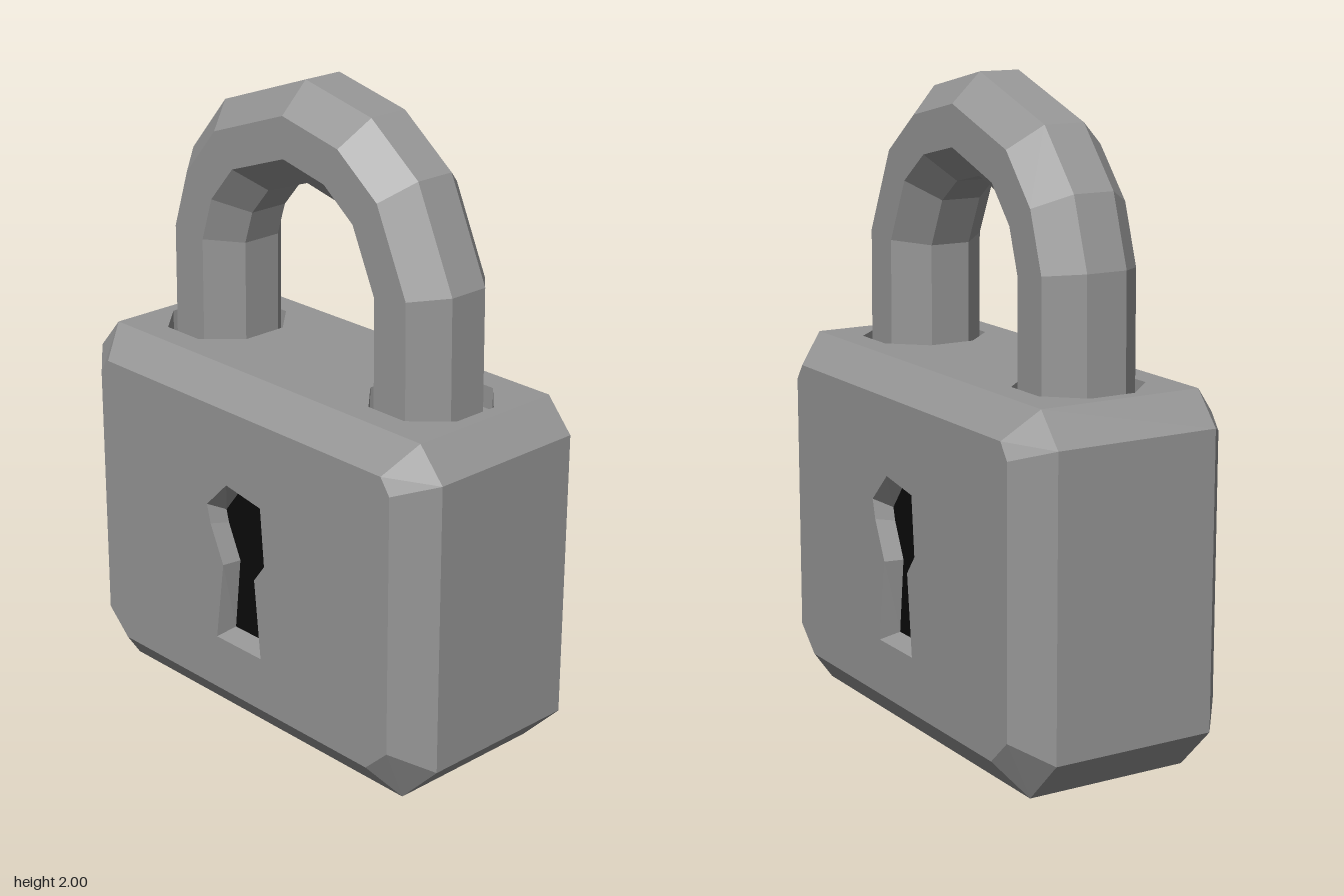
import * as THREE from 'three';

const steel = new THREE.MeshStandardMaterial({ color: 0x959595 });
steel.name = 'steel grey';
const black = new THREE.MeshStandardMaterial({ color: 0x0a0a0a });
black.name = 'keyhole black';

const v2 = (pts) => pts.map(([x, y]) => new THREE.Vector2(x, y));
const at = (pts, z) => pts.map(([x, y]) => [x, y, z]);

function mesh(name, geometry, material) {
  const m = new THREE.Mesh(geometry, material);
  m.name = name;
  return m;
}

// Faceted skin through closed rings; skip(i, j) leaves a quad out
function loft(rings, skip = () => false) {
  const pos = [];
  for (let i = 0; i < rings.length - 1; i++) {
    const n = rings[i].length;
    for (let j = 0; j < n; j++) {
      if (skip(i, j)) continue;
      const k = (j + 1) % n;
      const a = rings[i][j], b = rings[i][k], c = rings[i + 1][k], d = rings[i + 1][j];
      pos.push(...a, ...b, ...c, ...a, ...c, ...d);
    }
  }
  const g = new THREE.BufferGeometry();
  g.setAttribute('position', new THREE.Float32BufferAttribute(pos, 3));
  g.computeVertexNormals();
  return g;
}

// Flat panel facing +z with sunken, clockwise openings
function recessedPanel(name, outline, openings, depth, floorMaterial) {
  const group = new THREE.Group();
  group.name = name;
  const shape = new THREE.Shape(v2(outline));
  for (const { rim, base } of openings) {
    shape.holes.push(new THREE.Path(v2(rim)));
    group.add(mesh(name + 'RecessWall', loft([at(base, -depth), at(rim, 0)]), steel));
    const floor = mesh(name + 'RecessFloor', new THREE.ShapeGeometry(new THREE.Shape(v2(base))), floorMaterial);
    floor.position.z = -depth;
    group.add(floor);
  }
  group.add(mesh(name + 'Surface', new THREE.ShapeGeometry(shape), steel));
  return group;
}

// Counter-clockwise octagon; edge 2 is the top
const octagon = (xa, yLow, yHigh, xTop, yTop, xBottom, yBottom) => [
  [xa, yLow], [xa, yHigh], [xTop, yTop], [-xTop, yTop],
  [-xa, yHigh], [-xa, yLow], [-xBottom, yBottom], [xBottom, yBottom],
];

function createBody() {
  const body = new THREE.Group();
  body.name = 'body';
  const face = octagon(0.635, 0.19, 1.0, 0.6, 1.05, 0.55, 0.11);
  const middle = octagon(0.747, 0.14, 1.04, 0.66, 1.14, 0.61, 0);
  const Z = 0.355, z = 0.262;

  // Chamfered sides, open at the top, front and back
  const rings = [at(face, -Z), at(middle, -z), at(middle, z), at(face, Z)];
  body.add(mesh('chamferedSides', loft(rings, (i, j) => i === 1 && j === 2), steel));

  // Front and back panels with a slightly irregular keyhole
  const keyhole = {
    rim: [[-0.14, 0.72], [-0.05, 0.81], [0.1, 0.785], [0.115, 0.6], [0.07, 0.54],
      [0.095, 0.285], [-0.105, 0.285], [-0.07, 0.54], [-0.125, 0.66]],
    base: [[-0.12, 0.69], [-0.05, 0.78], [0.075, 0.775], [0.1, 0.6], [0.058, 0.54],
      [0.077, 0.305], [-0.085, 0.305], [-0.06, 0.54], [-0.11, 0.65]],
  };
  const front = recessedPanel('frontPanel', face, [keyhole], 0.06, black);
  front.position.z = Z;
  const back = recessedPanel('backPanel', face, [keyhole], 0.06, black);
  back.rotation.y = Math.PI;
  back.position.z = -Z;

  // Top panel with a socket around each shackle leg
  const sockets = [-1, 1].map((side) => {
    const rim = [];
    for (let i = 0; i < 8; i++) {
      const a = -(i + 0.5) * Math.PI / 4;
      rim.push([side * 0.445 + 0.188 * Math.cos(a), 0.196 * Math.sin(a)]);
    }
    return { rim, base: rim };
  });
  const top = recessedPanel('topPanel', [[-0.66, -z], [0.66, -z], [0.66, z], [-0.66, z]], sockets, 0.07, steel);
  top.rotation.x = -Math.PI / 2;
  top.position.y = 1.14;

  body.add(front, back, top);
  return body;
}

// Eight-sided bar swept up one leg, over the arch and down the other
function createShackle() {
  const R = 0.435, r = 0.165, centreY = 1.41;
  const ring = (degrees, y) => {
    const t = THREE.MathUtils.degToRad(degrees);
    const pts = [];
    for (let i = 0; i < 8; i++) {
      const a = -(i + 0.5) * Math.PI / 4;
      const d = R + r * Math.cos(a);
      pts.push([d * Math.cos(t), y + d * Math.sin(t), r * 1.04 * Math.sin(a)]);
    }
    return pts;
  };
  const arch = [8, 41, 64, 91, 128, 151, 173].map((deg) => ring(deg, centreY));
  return mesh('shackle', loft([ring(0, 1.05), ...arch, ring(180, 1.05)]), steel);
}

export function createModel() {
  const model = new THREE.Group();
  model.name = 'padlock';
  model.add(createBody(), createShackle());
  return model;
}
